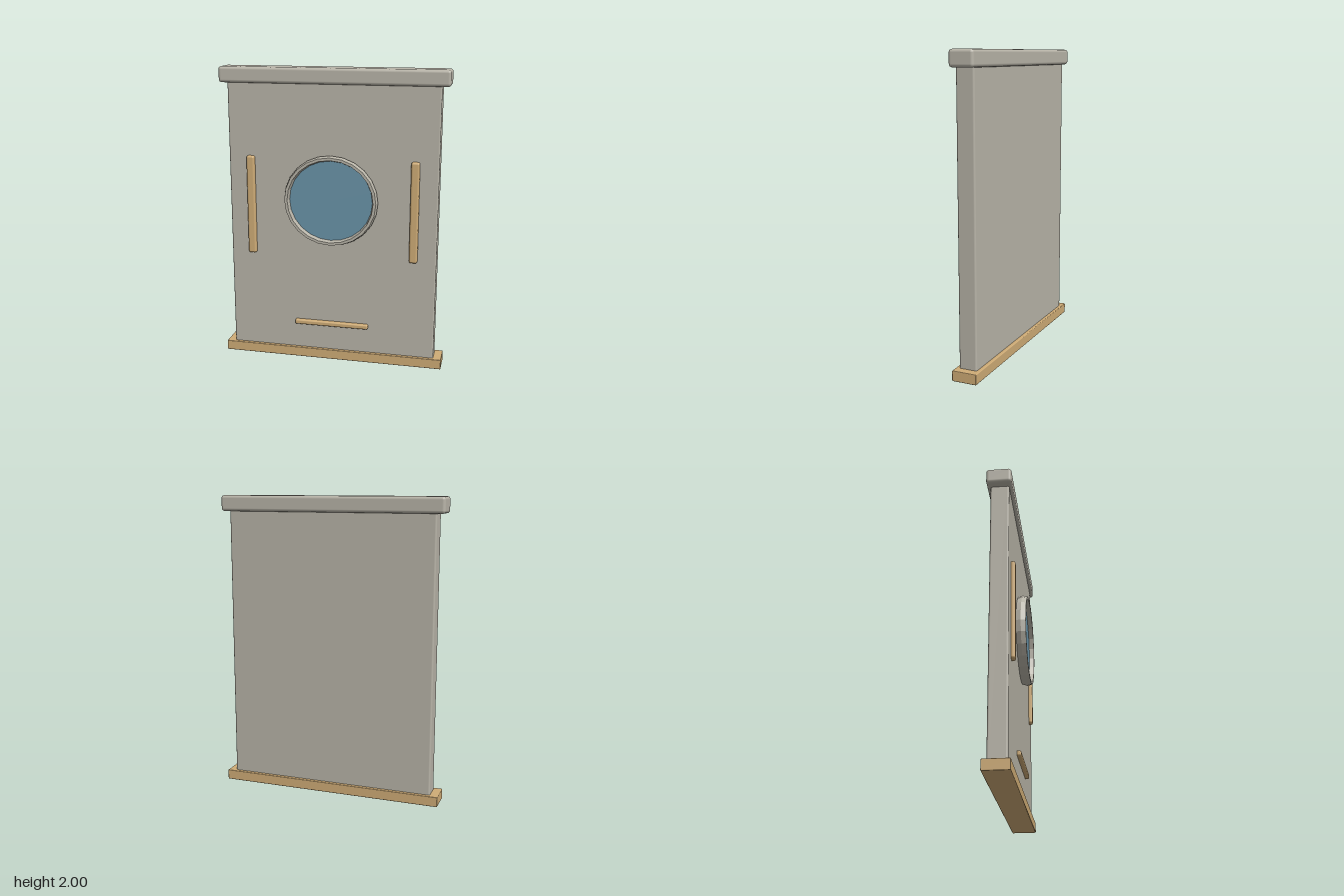
import * as THREE from 'three';
import { RoundedBoxGeometry } from 'three/addons/geometries/RoundedBoxGeometry.js';

const material = (name, color) => {
  const m = new THREE.MeshStandardMaterial({ color });
  m.name = name;
  return m;
};

export function createModel() {
  const stone = material('stone', 0xb8b4a8);
  const wood = material('wood', 0xcfac76);
  const glass = material('glass', 0x6a94a9);
  const model = new THREE.Group();
  model.name = 'wallPanel';

  const add = (name, geometry, mat, x = 0, y = 0, z = 0) => {
    const mesh = new THREE.Mesh(geometry, mat);
    mesh.name = name;
    mesh.position.set(x, y, z);
    model.add(mesh);
    return mesh;
  };

  // Softened box given by its extents
  const block = (name, mat, [x0, x1], [y0, y1], [z0, z1], radius) =>
    add(name, new RoundedBoxGeometry(x1 - x0, y1 - y0, z1 - z0, 2, radius), mat,
      (x0 + x1) / 2, (y0 + y1) / 2, (z0 + z1) / 2);

  // Wall slab between sill and cap
  block('wall', stone, [-0.705, 0.705], [0.03, 1.94], [-0.08, 0.04], 0.012);
  block('cap', stone, [-0.76, 0.76], [1.895, 2], [-0.103, 0.06], 0.02);
  block('baseSill', wood, [-0.76, 0.76], [0, 0.068], [-0.103, 0.062], 0.005);

  // Wooden trim strips
  for (const side of [-1, 1]) {
    const x = side * 0.553;
    block(side > 0 ? 'leftStrip' : 'rightStrip', wood,
      [x - 0.028, x + 0.028], [0.74, 1.415], [0.02, 0.066], 0.014);
  }
  block('lowerStrip', wood, [-0.255, 0.255], [0.242, 0.275], [0.02, 0.066], 0.01);

  // Round window: faceted frame, slightly wider than tall, with a glass disc
  const frame = new THREE.TorusGeometry(0.2985, 0.0185, 6, 24);
  frame.scale(1, 0.96, 2);
  const frameMesh = add('windowFrame', frame.toNonIndexed(), stone, 0, 1.135, 0.071);
  frameMesh.geometry.computeVertexNormals();

  const pane = new THREE.CircleGeometry(0.288, 24);
  pane.scale(1, 0.96, 1);
  add('windowGlass', pane, glass, 0, 1.135, 0.071);

  return model;
}
